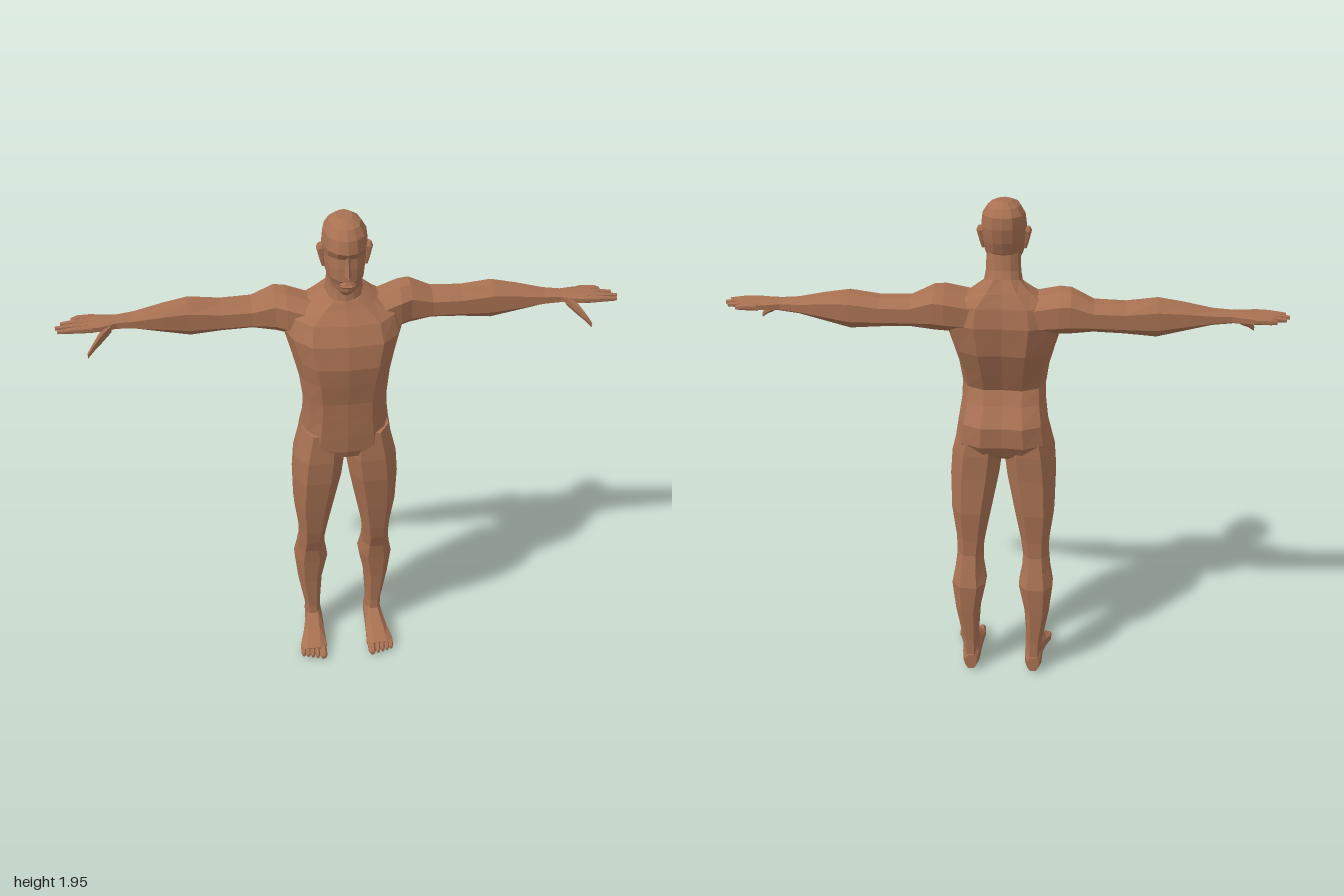
import * as THREE from 'three';

const skin = new THREE.MeshStandardMaterial({ color: 0xa87152, flatShading: true });
skin.name = 'skin';

// Closed, faceted skin over a list of rings, capped at both ends
function loft(name, rings, side = 1) {
  const pos = [];
  const R = rings.map(r => r.map(p => new THREE.Vector3(p[0] * side, p[1], p[2])));
  const n = R[0].length;
  const tris = [];
  for (let i = 0; i + 1 < R.length; i++) {
    for (let j = 0; j < n; j++) {
      const k = (j + 1) % n;
      tris.push([R[i][j], R[i][k], R[i + 1][k]], [R[i][j], R[i + 1][k], R[i + 1][j]]);
    }
  }
  for (const [r, flip] of [[R[0], true], [R[R.length - 1], false]]) {
    const c = r.reduce((s, p) => s.add(p), new THREE.Vector3()).divideScalar(n);
    for (let j = 0; j < n; j++) {
      const k = (j + 1) % n;
      tris.push(flip ? [c, r[k], r[j]] : [c, r[j], r[k]]);
    }
  }
  // Turn the faces outward whatever the ring direction
  let volume = 0;
  for (const [a, b, c] of tris) volume += a.dot(b.clone().cross(c));
  for (const [a, b, c] of tris) {
    for (const p of volume > 0 ? [a, b, c] : [a, c, b]) pos.push(p.x, p.y, p.z);
  }
  const g = new THREE.BufferGeometry();
  g.setAttribute('position', new THREE.Float32BufferAttribute(pos, 3));
  g.computeVertexNormals();
  const mesh = new THREE.Mesh(g, skin);
  mesh.name = name;
  return mesh;
}

// Eight-sided section across an axis, filling a0..a1 by b0..b1
const OCT = [[1, 0.4], [0.5, 1], [-0.5, 1], [-1, 0.4], [-1, -0.4], [-0.5, -1], [0.5, -1], [1, -0.4]];
function oct(axis, [t, a0, a1, b0, b1]) {
  return OCT.map(([u, v]) => {
    const a = (a0 + a1) / 2 + u * (a1 - a0) / 2;
    const b = (b0 + b1) / 2 + v * (b1 - b0) / 2;
    return axis === 'y' ? [a, t, b] : axis === 'x' ? [t, a, b] : [a, b, t];
  });
}
const limb = (name, axis, rows, side) => loft(name, rows.map(r => oct(axis, r)), side);

// Symmetric, tilted section: half width, front y and z, back y and z.
// The shape lists [share of width, share of depth from the front].
function bodyRing(shape, [w, yf, zf, yb, zb]) {
  const half = shape.map(([u, t]) => [u * w, yf + (yb - yf) * t, zf + (zb - zf) * t]);
  const mirrored = half.slice(1, -1).reverse().map(([x, y, z]) => [-x, y, z]);
  return [...half, ...mirrored];
}

const TRUNK = [[0, 0], [0.58, 0.04], [0.86, 0.25], [1, 0.55], [0.85, 0.85], [0.45, 1], [0, 0.97]];
const SKULL = [[0, 0], [0.42, 0.05], [0.8, 0.2], [1, 0.55], [0.85, 0.82], [0.45, 0.97], [0, 1]];

function addTrunkAndHead(group) {
  const torso = [
    [0.05, 0.99, 0.04, 0.97, -0.06],
    [0.16, 1.02, 0.095, 1.0, -0.1],
    [0.18, 1.05, 0.106, 1.05, -0.13],
    [0.168, 1.12, 0.112, 1.13, -0.132],
    [0.157, 1.2, 0.115, 1.2, -0.085],
    [0.155, 1.27, 0.118, 1.255, -0.06],
    [0.166, 1.36, 0.135, 1.33, -0.095],
    [0.187, 1.43, 0.145, 1.42, -0.135],
    [0.215, 1.515, 0.132, 1.53, -0.152],
    [0.2, 1.58, 0.1, 1.6, -0.14],
    [0.12, 1.625, 0.065, 1.645, -0.118],
    [0.068, 1.65, 0.05, 1.69, -0.09],
  ];
  group.add(loft('torso', torso.map(r => bodyRing(TRUNK, r))));

  const neck = [
    [0.072, 1.635, 0.052, 1.67, -0.095],
    [0.062, 1.69, 0.04, 1.715, -0.072],
    [0.06, 1.75, 0.04, 1.78, -0.058],
  ];
  group.add(loft('neck', neck.map(r => bodyRing(SKULL, r))));

  const head = [
    [0.034, 1.692, 0.082, 1.74, -0.03],
    [0.055, 1.712, 0.1, 1.755, -0.053],
    [0.066, 1.74, 0.103, 1.775, -0.064],
    [0.07, 1.755, 0.112, 1.79, -0.07],
    [0.075, 1.8, 0.11, 1.815, -0.08],
    [0.077, 1.835, 0.105, 1.84, -0.085],
    [0.079, 1.858, 0.12, 1.865, -0.09],
    [0.074, 1.9, 0.108, 1.905, -0.088],
    [0.056, 1.93, 0.082, 1.932, -0.068],
    [0.028, 1.945, 0.04, 1.95, -0.04],
  ];
  group.add(loft('head', head.map(r => bodyRing(SKULL, r))));

  // Nose and lips
  const wedge = (y, w, z) => [[-w, y, 0.09], [0, y, z], [w, y, 0.09]];
  group.add(loft('nose', [
    wedge(1.765, 0.017, 0.115), wedge(1.777, 0.02, 0.142),
    wedge(1.81, 0.014, 0.128), wedge(1.85, 0.012, 0.116),
  ]));
  group.add(limb('lips', 'y', [
    [1.728, -0.018, 0.018, 0.08, 0.104],
    [1.737, -0.026, 0.026, 0.08, 0.113],
    [1.741, -0.028, 0.028, 0.08, 0.107],
    [1.746, -0.026, 0.026, 0.08, 0.117],
    [1.756, -0.016, 0.016, 0.08, 0.113],
  ]));
}

function addSide(group, s) {
  const side = s > 0 ? 'left' : 'right';

  group.add(limb(side + 'Ear', 'y', [
    [1.775, 0.068, 0.079, 0.004, 0.018],
    [1.8, 0.068, 0.086, -0.004, 0.022],
    [1.84, 0.068, 0.096, -0.012, 0.024],
    [1.853, 0.07, 0.09, -0.006, 0.016],
  ], s));

  // Arm from the shoulder to the wrist
  group.add(limb(side + 'Arm', 'x', [
    [0.1, 1.49, 1.625, -0.13, 0.05],
    [0.2, 1.5, 1.653, -0.146, 0.025],
    [0.24, 1.505, 1.655, -0.146, 0.005],
    [0.32, 1.515, 1.618, -0.14, -0.012],
    [0.43, 1.51, 1.615, -0.133, -0.017],
    [0.54, 1.5, 1.63, -0.125, -0.02],
    [0.63, 1.52, 1.615, -0.113, -0.02],
    [0.73, 1.542, 1.594, -0.098, -0.022],
    [0.8, 1.547, 1.588, -0.086, -0.024],
  ], s));

  // Hand with four fingers and a thumb
  const hand = new THREE.Group();
  hand.name = side + 'Hand';
  hand.add(limb('palm', 'x', [
    [0.785, 1.548, 1.588, -0.085, -0.025],
    [0.83, 1.548, 1.586, -0.095, -0.008],
    [0.885, 1.553, 1.582, -0.104, -0.002],
  ], s));
  [[-0.094, 0.95], [-0.067, 0.985], [-0.04, 1.0], [-0.013, 0.99]].forEach(([z, tip], i) => {
    hand.add(limb('finger' + (i + 1), 'x', [
      [0.87, 1.555, 1.58, z - 0.011, z + 0.011],
      [0.93, 1.556, 1.578, z - 0.01, z + 0.01],
      [tip, 1.557, 1.57, z - 0.006, z + 0.006],
    ], s));
  });
  hand.add(limb('thumb', 'x', [
    [0.81, 1.545, 1.582, -0.045, -0.012],
    [0.845, 1.518, 1.558, -0.02, 0.012],
    [0.87, 1.502, 1.53, 0.006, 0.03],
    [0.893, 1.482, 1.5, 0.026, 0.042],
  ], s));
  group.add(hand);

  // Leg from the hip to the ankle
  group.add(limb(side + 'Leg', 'y', [
    [1.12, 0.012, 0.162, -0.1, 0.095],
    [1.0, 0.004, 0.192, -0.108, 0.103],
    [0.9, 0.016, 0.2, -0.106, 0.098],
    [0.75, 0.045, 0.198, -0.112, 0.075],
    [0.62, 0.07, 0.182, -0.1, 0.05],
    [0.55, 0.08, 0.18, -0.1, 0.032],
    [0.49, 0.078, 0.187, -0.116, 0.01],
    [0.42, 0.066, 0.2, -0.135, 0],
    [0.3, 0.09, 0.188, -0.13, -0.012],
    [0.15, 0.1, 0.163, -0.12, -0.02],
    [0.07, 0.098, 0.16, -0.122, -0.015],
  ], s));

  // Foot with five toes
  const foot = new THREE.Group();
  foot.name = side + 'Foot';
  foot.add(limb('sole', 'z', [
    [-0.124, 0.105, 0.152, 0.008, 0.075],
    [-0.1, 0.095, 0.162, 0, 0.12],
    [-0.03, 0.092, 0.165, 0.002, 0.118],
    [0.03, 0.09, 0.178, 0.004, 0.082],
    [0.09, 0.086, 0.196, 0, 0.05],
    [0.115, 0.09, 0.196, 0, 0.036],
  ], s));
  for (let i = 0; i < 5; i++) {
    const x = [0.104, 0.129, 0.149, 0.168, 0.186][i];
    const w = i ? 0.01 : 0.015;
    const tip = 0.154 - i * 0.006;
    foot.add(limb('toe' + (i + 1), 'z', [
      [0.09, x - w, x + w, 0, 0.036],
      [tip - 0.015, x - w, x + w, 0, 0.032],
      [tip, x - w * 0.6, x + w * 0.6, 0.006, 0.022],
    ], s));
  }
  group.add(foot);
}

export function createModel() {
  const group = new THREE.Group();
  group.name = 'figure';
  addTrunkAndHead(group);
  for (const s of [1, -1]) addSide(group, s);
  return group;
}
